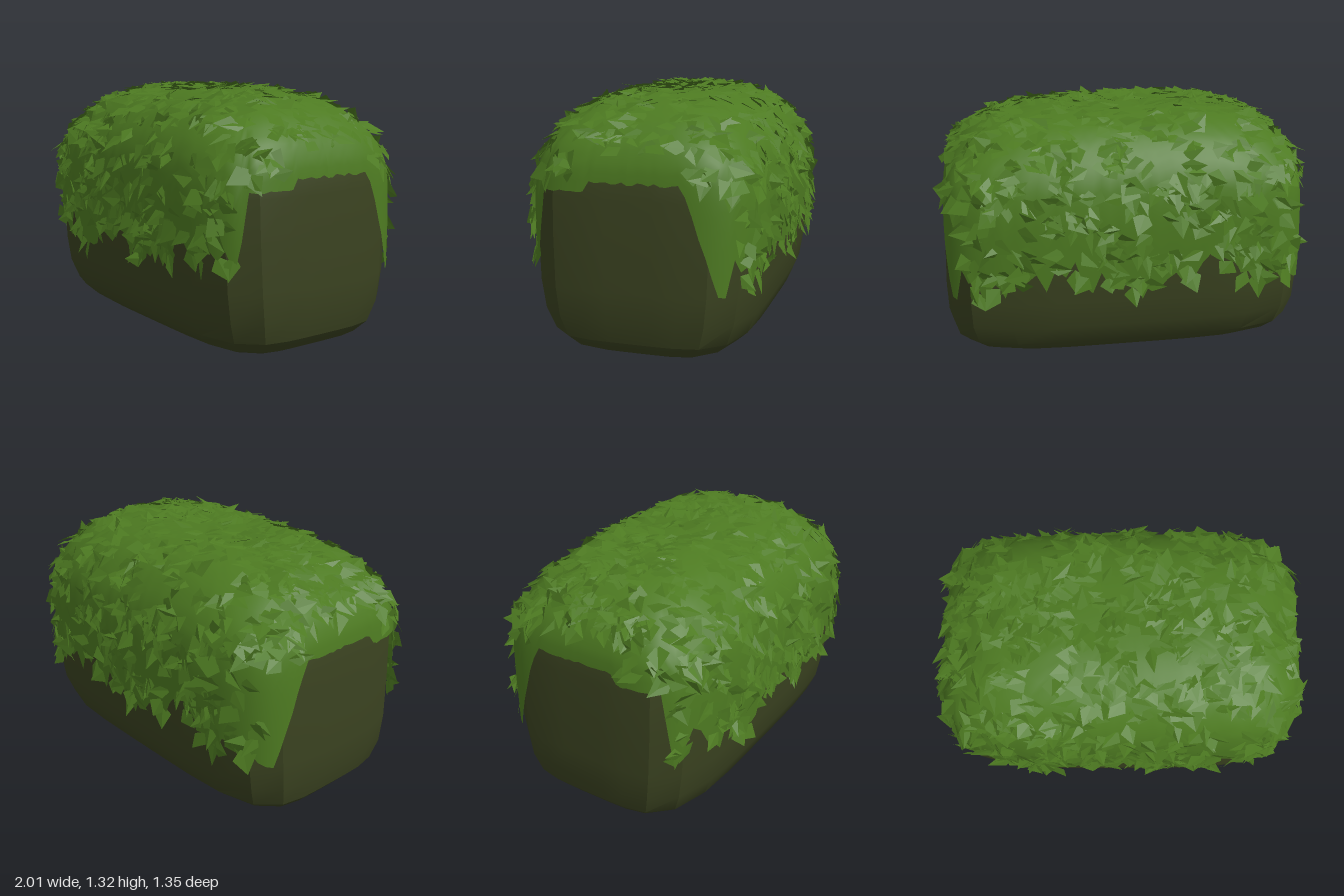
import * as THREE from 'three';
import { toCreasedNormals } from 'three/addons/utils/BufferGeometryUtils.js';

// Height, half length and half depth of each ring of the loaf shape
const PROFILE = [
  [0, 0.82, 0.41], [0.03, 0.885, 0.455], [0.09, 0.94, 0.52], [0.2, 0.97, 0.567],
  [0.35, 0.976, 0.592], [0.6, 0.968, 0.605], [0.8, 0.96, 0.607], [0.95, 0.945, 0.588],
  [1.05, 0.90, 0.545], [1.15, 0.80, 0.465], [1.22, 0.67, 0.37], [1.265, 0.48, 0.24],
  [1.28, 0.24, 0.1], [1.285, 0, 0],
];
const LAST = PROFILE.length - 1;

let seed = 7;
const random = () => {
  seed = (seed * 16807) % 2147483647;
  return seed / 2147483647;
};
const spread = (s) => (random() * 2 - 1) * s;

// Point on the loaf: ring position t, plan angle phi, outward offset
function loafPoint(t, phi, offset = 0) {
  const i = Math.min(Math.floor(t), LAST - 1), f = t - i;
  const [y, a, b] = PROFILE[i].map((v, k) => v + (PROFILE[i + 1][k] - v) * f);
  const c = Math.cos(phi), s = Math.sin(phi);
  const n = THREE.MathUtils.clamp(4.5 - (t - 7) * 0.42, 2.2, 4.7);
  const r = Math.pow(Math.abs(c) ** n + Math.abs(s) ** n, -1 / n);
  const side = offset * Math.min(1, a * 2);
  const rise = offset * THREE.MathUtils.smoothstep(y, 0.8, 1.25);
  return new THREE.Vector3((a + side) * r * c, y + rise, (b + side) * r * s);
}

function ringAtHeight(y) {
  let i = 0;
  while (i < LAST - 1 && PROFILE[i + 1][0] < y) i++;
  return i + (y - PROFILE[i][0]) / (PROFILE[i + 1][0] - PROFILE[i][0]);
}

// Lower edge of the foliage: high over both bare ends, low along the sides
function foliageEdge(phi) {
  const p = loafPoint(5, phi), z = p.z;
  if (Math.abs(p.x) > 0.88) {
    if (z > 0.46) return 0.6;
    if (z > 0.2) return 0.83;
    if (z > -0.27) return 0.88;
    return Math.max(0.36, 0.86 + (z + 0.27) * 2.9);
  }
  return 0.48 + 0.05 * Math.sin(p.x * 9 + z * 3) + 0.04 * Math.sin(p.x * 23 + z);
}

// Grid surface between columns of points
function gridGeometry(columns, rows, point) {
  const positions = [], index = [];
  for (let i = 0; i <= columns; i++) {
    for (let j = 0; j <= rows; j++) positions.push(...point(i % columns, j / rows).toArray());
  }
  for (let i = 0; i < columns; i++) {
    for (let j = 0; j < rows; j++) {
      const a = i * (rows + 1) + j, b = a + rows + 1;
      index.push(a, a + 1, b, b, a + 1, b + 1);
    }
  }
  const geometry = new THREE.BufferGeometry();
  geometry.setAttribute('position', new THREE.Float32BufferAttribute(positions, 3));
  geometry.setIndex(index);
  return geometry;
}

// Worn stone block with a flat underside
function stoneGeometry() {
  const columns = 32;
  return toCreasedNormals(gridGeometry(columns, LAST + 1, (i, v) => {
    const ring = Math.round(v * (LAST + 1)) - 1;
    if (ring < 0) return new THREE.Vector3(0, 0, 0);
    return loafPoint(ring, (i / columns) * Math.PI * 2);
  }), 0.45);
}

// Sheet of foliage with a ragged lower edge
function sheetGeometry() {
  const columns = 144, edges = [];
  for (let i = 0; i < columns; i++) {
    const phi = (i / columns) * Math.PI * 2;
    const onEnd = Math.abs(loafPoint(5, phi).x) > 0.88;
    edges.push(ringAtHeight(foliageEdge(phi) + spread(onEnd ? 0.008 : 0.08)));
  }
  const geometry = gridGeometry(columns, 20, (i, v) =>
    loafPoint(edges[i] + (LAST - edges[i]) * v, (i / columns) * Math.PI * 2, 0.01));
  geometry.computeVertexNormals();
  return geometry;
}

// Folded pointed leaves scattered over the sheet
function leavesGeometry(count) {
  const positions = [];
  const edgeA = new THREE.Vector3(), edgeB = new THREE.Vector3();
  // Adds a triangle wound to face away from the loaf
  const addFace = (a, b, c, normal) => {
    edgeA.subVectors(b, a).cross(edgeB.subVectors(c, a));
    const corners = edgeA.dot(normal) < 0 ? [a, c, b] : [a, b, c];
    corners.forEach((p) => positions.push(p.x, p.y, p.z));
  };
  // Lengths between rings keep the leaves evenly spaced
  const lengths = PROFILE.slice(1).map((p, i) =>
    Math.hypot(p[0] - PROFILE[i][0], p[2] - PROFILE[i][2]));
  const total = lengths.reduce((sum, l) => sum + l, 0);
  let made = 0;
  while (made < count) {
    let d = random() * total, ring = 0;
    while (ring < LAST - 1 && d > lengths[ring]) d -= lengths[ring++];
    const t = Math.min(ring + d / lengths[ring], LAST - 0.05);
    const phi = random() * Math.PI * 2;
    const p = loafPoint(t, phi, 0.01);
    if (p.y < foliageEdge(phi) - 0.02 || random() > Math.hypot(p.x, p.z) * 1.5 + 0.1) continue;
    // The ends stay smooth except for a fringe near the top and corners
    if (Math.abs(p.x) > 0.88 && p.y < (Math.abs(p.z) < 0.3 ? 1.04 : 0.9)) continue;

    const down = loafPoint(t - 0.05, phi, 0.01).sub(p).normalize();
    const across = loafPoint(t, phi + 0.02, 0.01).sub(p).normalize();
    const normal = down.clone().cross(across).normalize();
    if (normal.dot(new THREE.Vector3(p.x, p.y - 0.5, p.z)) < 0) normal.negate();
    const flat = 1 - 0.35 * THREE.MathUtils.smoothstep(p.y, 1.05, 1.25);

    const along = down.clone().applyAxisAngle(normal, spread(1.9));
    const side = along.clone().cross(normal).normalize();
    const length = 0.07 + random() * 0.06, width = 0.03 + random() * 0.03;
    const place = (l, w, h) => p.clone().addScaledVector(along, l)
      .addScaledVector(side, w).addScaledVector(normal, h * flat);
    const root = place(-0.02, 0, -0.006);
    const tip = place(length, spread(0.025), random() * 0.05);
    const left = place(length * 0.25, -width, spread(0.022) + 0.006);
    const right = place(length * 0.3, width, spread(0.022) + 0.006);
    addFace(root, tip, left, normal);
    addFace(root, right, tip, normal);
    made++;
  }
  const geometry = new THREE.BufferGeometry();
  geometry.setAttribute('position', new THREE.Float32BufferAttribute(positions, 3));
  geometry.computeVertexNormals();
  return geometry;
}

export function createModel() {
  seed = 7;
  const stone = new THREE.MeshStandardMaterial({ color: 0x3a4220 });
  stone.name = 'mossy stone';
  const foliage = new THREE.MeshStandardMaterial({ color: 0x4d7a21, side: THREE.DoubleSide });
  foliage.name = 'leaf green';

  const group = new THREE.Group();
  group.name = 'overgrownStone';
  const add = (name, geometry, material) => {
    const mesh = new THREE.Mesh(geometry, material);
    mesh.name = name;
    group.add(mesh);
  };
  add('stoneBlock', stoneGeometry(), stone);
  add('foliageSheet', sheetGeometry(), foliage);
  add('leaves', leavesGeometry(1100), foliage);
  return group;
}
